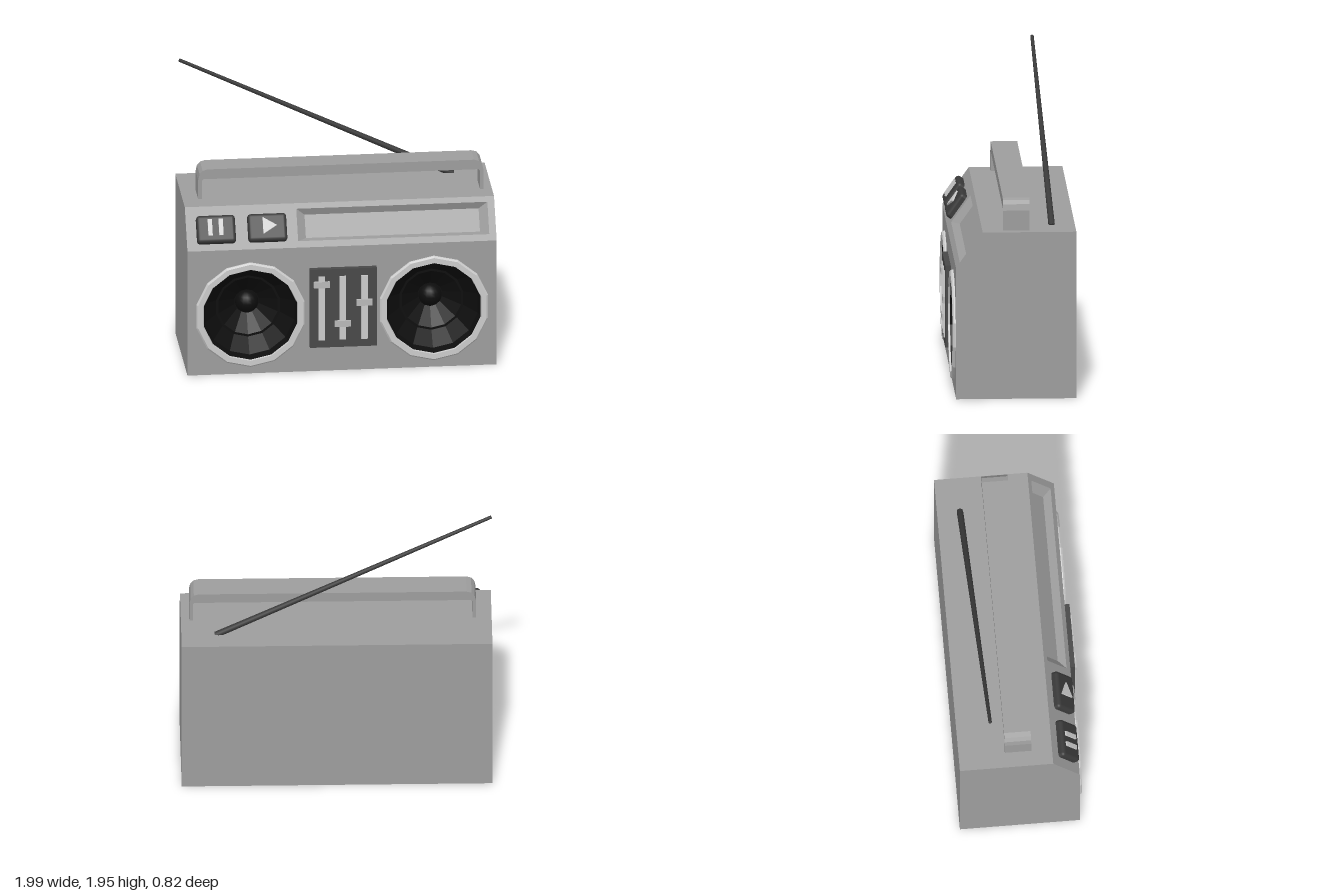
import * as THREE from 'three';
import { RoundedBoxGeometry } from 'three/addons/geometries/RoundedBoxGeometry.js';

const mat = (color, flat = true) =>
  new THREE.MeshStandardMaterial({ color, flatShading: flat, side: THREE.DoubleSide });

export function createModel() {
  const model = new THREE.Group();
  const grey = mat(0x9d9d9d), light = mat(0xcccccc), dark = mat(0x484848);
  const black = mat(0x0d0d0d), rubber = mat(0x3a3a3a, false);

  const add = (parent, name, geo, material, x = 0, y = 0, z = 0) => {
    const mesh = new THREE.Mesh(geo, material);
    mesh.name = name;
    mesh.position.set(x, y, z);
    parent.add(mesh);
    return mesh;
  };
  const box = (w, h, d) => new THREE.BoxGeometry(w, h, d);
  const poly = pts => new THREE.Shape(pts.map(p => new THREE.Vector2(...p)));
  const rect = (x0, y0, x1, y1) => [[x0, y0], [x1, y0], [x1, y1], [x0, y1]];

  // Case dimensions
  const W = 0.995, H = 1.09, back = -0.41, front = 0.36, ledge = 0.85, topZ = 0.19;
  const speakerX = 0.59, speakerY = 0.405, sides = 14;

  // Case: front panel with speaker openings
  const body = new THREE.Group();
  body.name = 'case';
  model.add(body);
  const frontShape = poly(rect(-W, 0, W, ledge));
  for (const s of [-1, 1]) {
    const ringPts = [];
    for (let i = 0; i < sides; i++) {
      const a = i / sides * Math.PI * 2;
      ringPts.push([s * speakerX + 0.33 * Math.sin(a), speakerY + 0.33 * Math.cos(a)]);
    }
    frontShape.holes.push(poly(ringPts));
  }
  add(body, 'frontPanel', new THREE.ShapeGeometry(frontShape), grey, 0, 0, front);

  // Case: end, back, top and bottom panels
  const endProfile = poly([[-front, 0], [-back, 0], [-back, H], [-topZ, H], [-front, ledge]]);
  for (const s of [-1, 1]) {
    const geo = new THREE.ShapeGeometry(endProfile);
    if (s < 0) geo.scale(-1, 1, 1).index.array.reverse();
    add(body, s > 0 ? 'leftEnd' : 'rightEnd', geo, grey, s * W).rotation.y = s * Math.PI / 2;
  }
  add(body, 'backPanel', new THREE.PlaneGeometry(2 * W, H), grey, 0, H / 2, back).rotation.y = Math.PI;
  add(body, 'topPanel', new THREE.PlaneGeometry(2 * W, topZ - back), grey, 0, H, (topZ + back) / 2)
    .rotation.x = -Math.PI / 2;
  add(body, 'bottomPanel', new THREE.PlaneGeometry(2 * W, front - back), grey, 0, 0, (front + back) / 2)
    .rotation.x = Math.PI / 2;

  // Sloped control deck; local z points out of the slope
  const deck = new THREE.Group();
  deck.name = 'controlDeck';
  deck.position.set(0, (H + ledge) / 2, (front + topZ) / 2);
  deck.rotation.x = -Math.atan2(front - topZ, H - ledge);
  model.add(deck);
  const half = Math.hypot(front - topZ, H - ledge) / 2;
  const outer = rect(-0.28, -0.104, 0.95, 0.11);
  const inner = rect(-0.225, -0.074, 0.895, 0.08);
  const deckShape = poly(rect(-W, -half, W, half));
  deckShape.holes.push(poly(outer));
  add(deck, 'deckPanel', new THREE.ShapeGeometry(deckShape), grey);

  // Cassette recess: four sloping walls and a floor
  const recess = new THREE.BufferGeometry();
  const corners = [...outer.map(p => [...p, 0]), ...inner.map(p => [...p, -0.043])];
  recess.setAttribute('position', new THREE.Float32BufferAttribute(corners.flat(), 3));
  const faces = [4, 5, 6, 4, 6, 7];
  for (let i = 0; i < 4; i++) {
    const j = (i + 1) % 4;
    faces.push(i, j, 4 + j, i, 4 + j, 4 + i);
  }
  recess.setIndex(faces);
  const recessFlat = recess.toNonIndexed();
  recessFlat.computeVertexNormals();
  add(deck, 'cassetteRecess', recessFlat, grey);

  // Push buttons with raised symbols
  for (const [name, x] of [['pauseButton', -0.805], ['playButton', -0.475]]) {
    add(deck, name, new RoundedBoxGeometry(0.25, 0.182, 0.07, 3, 0.022), rubber, x, -0.012, 0.01);
  }
  for (const x of [-0.845, -0.775]) add(deck, 'pauseBar', box(0.028, 0.11, 0.02), light, x, -0.005, 0.046);
  const triangle = poly([[-0.045, -0.056], [0.045, 0], [-0.045, 0.056]]);
  add(deck, 'playSymbol', new THREE.ExtrudeGeometry(triangle, { depth: 0.02, bevelEnabled: false }),
    light, -0.46, -0.005, 0.036);

  // Speakers: rim, stepped cone and dust cap
  const lathe = pts => new THREE.LatheGeometry(pts.map(p => new THREE.Vector2(...p)), sides).rotateX(Math.PI / 2);
  for (const s of [-1, 1]) {
    const speaker = new THREE.Group();
    speaker.name = s > 0 ? 'leftSpeaker' : 'rightSpeaker';
    speaker.position.set(s * speakerX, speakerY, front);
    model.add(speaker);
    add(speaker, 'rim', lathe([[0.357, -0.01], [0.357, 0.01], [0.347, 0.02], [0.312, 0.02], [0.306, -0.03]]), light);
    add(speaker, 'cone', lathe([[0.308, 0.008], [0.295, -0.05], [0.21, -0.15], [0.195, -0.15],
      [0.08, -0.24], [0, -0.24]]), black);
    add(speaker, 'dustCap', new THREE.SphereGeometry(0.075, 16, 10), mat(0x0d0d0d, false), 0, 0, -0.24);
  }

  // Equalizer panel with three sliders
  add(model, 'equalizerPanel', box(0.43, 0.535, 0.045), dark, 0.005, 0.44, 0.373);
  for (const [x, y] of [[-0.135, 0.605], [0, 0.335], [0.14, 0.475]]) {
    add(model, 'sliderTrack', box(0.042, 0.435, 0.012), light, x, 0.442, 0.397);
    add(model, 'sliderKnob', box(0.103, 0.042, 0.025), mat(0xb8b8b8), x, y, 0.397);
  }

  // Carrying handle
  const handle = poly([[-0.895, 1.08], [-0.872, 1.08], [-0.872, 1.215], [-0.862, 1.226],
    [0.908, 1.226], [0.918, 1.215], [0.918, 1.08], [0.941, 1.08], [0.941, 1.22], [0.932, 1.26],
    [0.912, 1.283], [0.88, 1.292], [-0.834, 1.292], [-0.866, 1.283], [-0.886, 1.26], [-0.895, 1.22]]);
  add(model, 'handle', new THREE.ExtrudeGeometry(handle, { depth: 0.17, bevelEnabled: false }), grey, 0, 0, -0.113);

  // Tapered antenna leaning to the right
  const base = new THREE.Vector3(0.775, 1.08, -0.262), tip = new THREE.Vector3(-0.99, 1.945, -0.215);
  const dir = tip.clone().sub(base);
  const antenna = add(model, 'antenna', new THREE.CylinderGeometry(0.011, 0.021, dir.length(), 10), rubber);
  antenna.position.copy(base).add(tip).multiplyScalar(0.5);
  antenna.quaternion.setFromUnitVectors(new THREE.Vector3(0, 1, 0), dir.normalize());

  return model;
}
